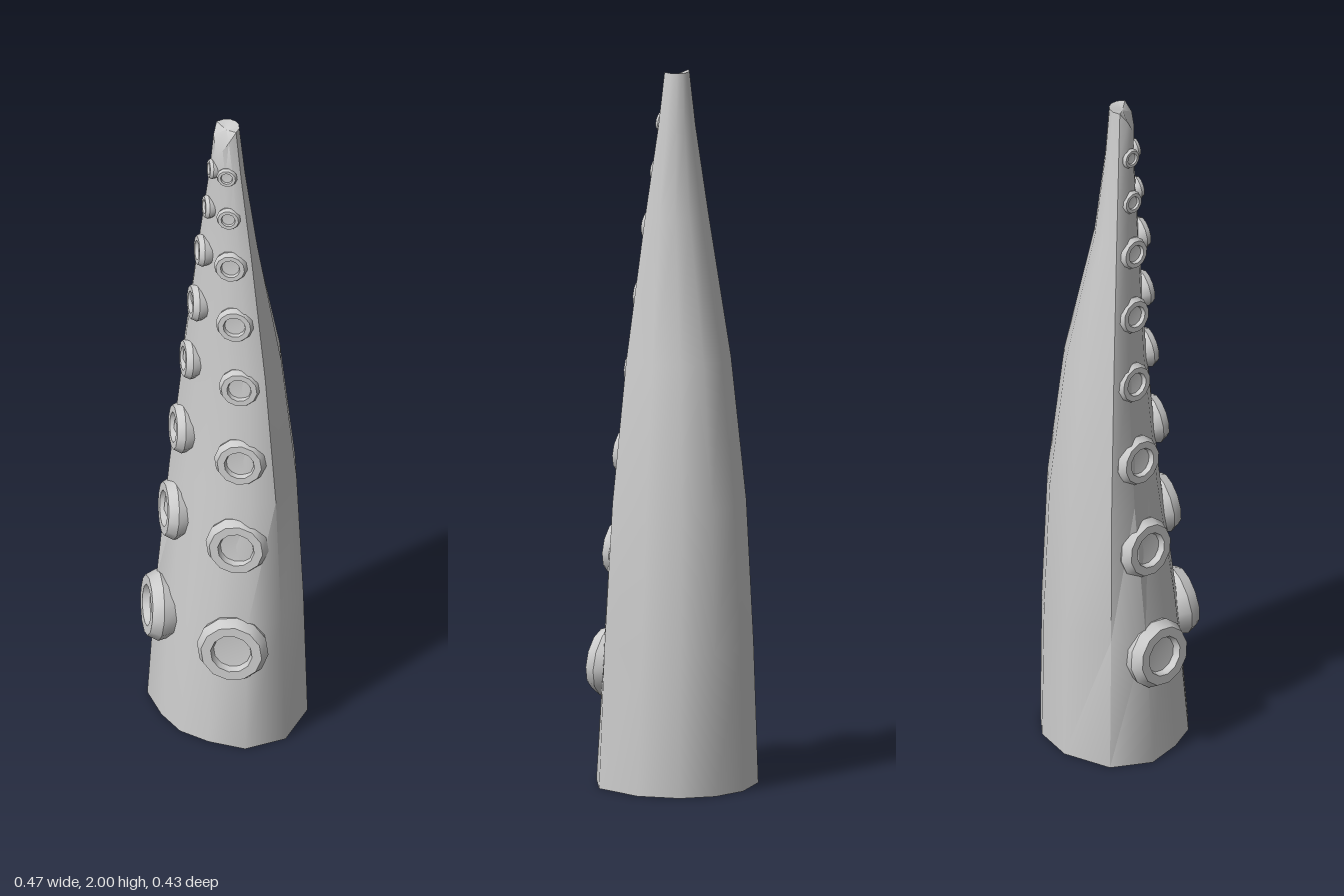
import * as THREE from 'three';
import { toCreasedNormals } from 'three/addons/utils/BufferGeometryUtils.js';

const material = new THREE.MeshStandardMaterial({ color: 0xcccccc });

// Unit cross-section, from the back round the left side to the front:
// x is a share of the half width, z a share of the back (-) or front (+) depth
const half = [[0, -1], [0.42, -0.9], [0.8, -0.57], [1, 0], [0.79, 0.63], [0.38, 0.89], [0, 1]];
const section = [...half, ...half.slice(1, -1).reverse().map(([x, z]) => [-x, z])];

// Rings up the arm: height, half width, z of the widest line, back z, front z
const rings = [
  [0, 0.235, 0.03, -0.21, 0.205],
  [0.4, 0.218, 0.03, -0.206, 0.17],
  [0.8, 0.195, 0.027, -0.19, 0.117],
  [1.2, 0.153, 0.025, -0.143, 0.08],
  [1.6, 0.096, 0.022, -0.058, 0.062],
  [1.85, 0.056, 0.02, -0.028, 0.05],
  [2, 0.037, 0.02, -0.017, 0.053],
];

function armGeometry() {
  const n = section.length, pos = [], idx = [];
  rings.forEach(([y, w, zm, zb, zf], r) => {
    for (const [sx, sz] of section) {
      // the tip is cut away in a curve towards the front
      const drop = r === rings.length - 1 && sz > 0 ? 0.075 * sz * sz : 0;
      pos.push(sx * w, y - drop, zm + (sz < 0 ? -sz * (zb - zm) : sz * (zf - zm)));
    }
  });
  for (let r = 0; r < rings.length - 1; r++) {
    for (let i = 0; i < n; i++) {
      const a = r * n + i, b = r * n + (i + 1) % n;
      idx.push(a, a + n, b, b, a + n, b + n);
    }
  }
  // closed base and tip
  const base = pos.length / 3, tip = base + 1, last = (rings.length - 1) * n;
  pos.push(0, 0, 0, 0, 1.99, 0.02);
  for (let i = 0; i < n; i++) {
    const j = (i + 1) % n;
    idx.push(base, i, j, tip, last + j, last + i);
  }
  const g = new THREE.BufferGeometry();
  g.setAttribute('position', new THREE.Float32BufferAttribute(pos, 3));
  g.setIndex(idx);
  return toCreasedNormals(g, 0.8);
}

// Sucker: barrel-sided cup with a flat rim and sunken centre, for radius 1
const suckerProfile = [[0.85, -0.5], [1, 0], [0.85, 0.3], [0.58, 0.3], [0.52, 0.1], [0, 0.06]]
  .map(([x, y]) => new THREE.Vector2(x, y));

// Sucker rows: x, y, z, radius
const suckers = [
  [0.143, 0.33, 0.145, 0.1],
  [0.122, 0.655, 0.105, 0.088],
  [0.113, 0.93, 0.083, 0.073],
  [0.096, 1.17, 0.067, 0.059],
  [0.074, 1.375, 0.063, 0.054],
  [0.055, 1.565, 0.06, 0.047],
  [0.04, 1.72, 0.053, 0.034],
  [0.029, 1.855, 0.048, 0.029],
];

export function createModel() {
  const group = new THREE.Group();
  group.name = 'tentacle';

  const arm = new THREE.Mesh(armGeometry(), material);
  arm.name = 'arm';
  group.add(arm);

  const cup = toCreasedNormals(new THREE.LatheGeometry(suckerProfile, 12), 0.6);
  const up = new THREE.Vector3(0, 1, 0);
  for (const side of [1, -1]) {
    const row = new THREE.Group();
    row.name = side > 0 ? 'leftSuckers' : 'rightSuckers';
    for (const [x, y, z, r] of suckers) {
      const sucker = new THREE.Mesh(cup, material);
      sucker.name = 'sucker';
      sucker.position.set(side * x, y, z);
      sucker.scale.setScalar(r);
      sucker.quaternion.setFromUnitVectors(up, new THREE.Vector3(side * 0.59, 0.1, 0.81).normalize());
      row.add(sucker);
    }
    group.add(row);
  }
  return group;
}
